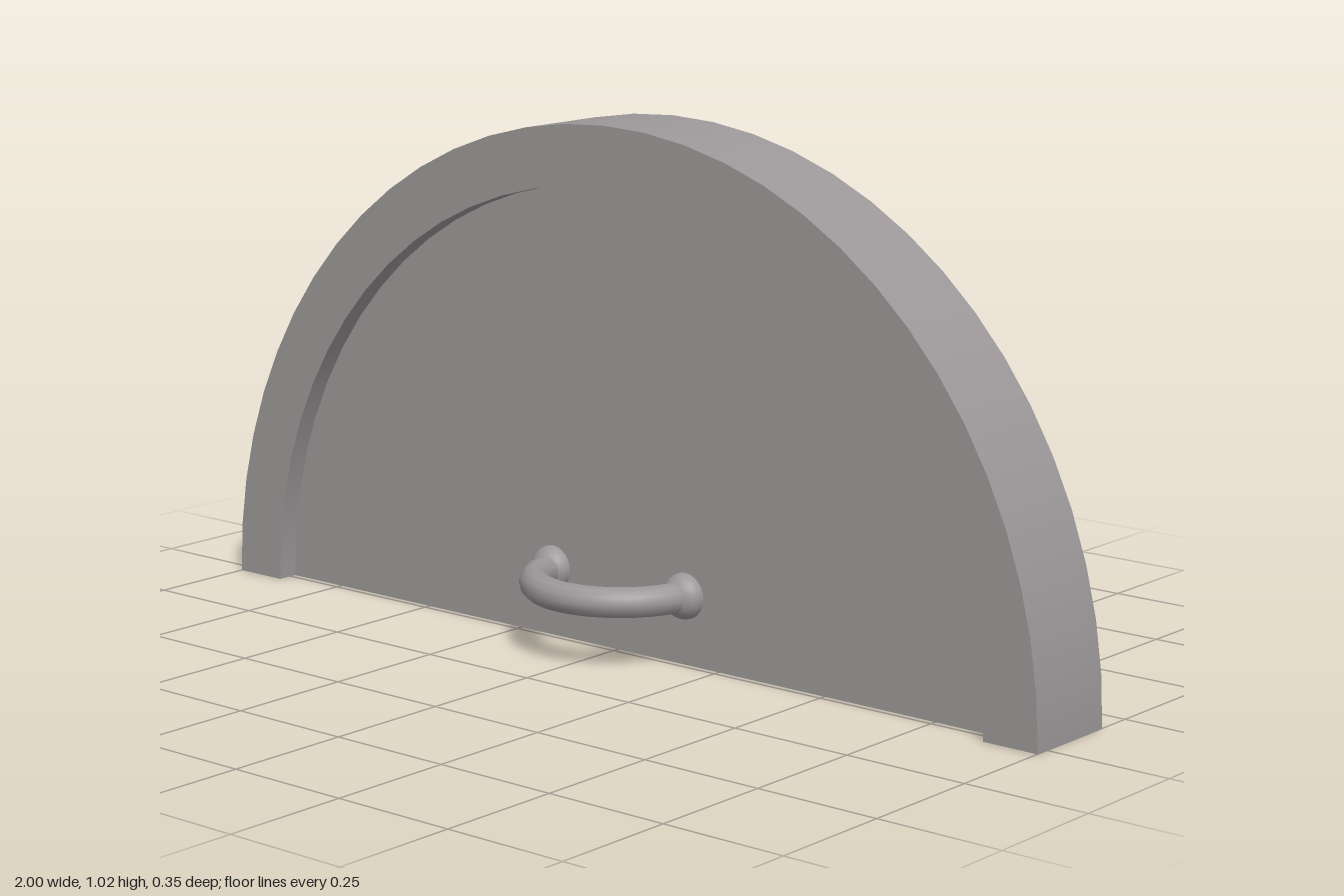
import * as THREE from 'three';

export function createModel() {
  const model = new THREE.Group();
  const grey = new THREE.MeshStandardMaterial({ color: 0x9c9899 });
  grey.name = 'warm grey';

  const FRONT = 0.03, BACK = -0.175;           // frame depth
  const PANEL_FRONT = -0.013, PANEL_BACK = -0.137;
  const OUTER = 1, INNER = 0.885, RISE = 1.02;  // radii and slight height stretch
  const SEGMENTS = 32;

  const add = (name, geometry, parent = model) => {
    const mesh = new THREE.Mesh(geometry, grey);
    mesh.name = name;
    parent.add(mesh);
    return mesh;
  };

  // Arched frame: half-turn strips of [radius, z] points, one per smooth face
  const frame = new THREE.Group();
  frame.name = 'archFrame';
  model.add(frame);
  const strips = {
    frameOuterWall: [[OUTER, BACK], [OUTER, FRONT]],
    frameFrontFace: [[OUTER, FRONT], [INNER, FRONT]],
    frameFrontReveal: [[INNER, FRONT], [INNER, PANEL_FRONT - 0.02]],
    frameBackRim: [[INNER, PANEL_BACK + 0.02], [INNER, BACK], [OUTER, BACK]],
  };
  for (const [name, points] of Object.entries(strips)) {
    const profile = points.map(([r, z]) => new THREE.Vector2(r, z));
    const strip = new THREE.LatheGeometry(profile, SEGMENTS, Math.PI / 2, Math.PI);
    strip.rotateX(Math.PI / 2);
    strip.scale(1, RISE, 1);
    add(name, strip, frame);
  }

  // Flat feet closing the frame at the bottom
  for (const side of [-1, 1]) {
    const foot = new THREE.PlaneGeometry(OUTER - INNER, FRONT - BACK);
    foot.rotateX(Math.PI / 2);
    foot.translate(side * (OUTER + INNER) / 2, 0, (FRONT + BACK) / 2);
    add(side > 0 ? 'leftFoot' : 'rightFoot', foot, frame);
  }

  // Half-round panel recessed inside the frame
  const outline = new THREE.Shape();
  outline.absarc(0, 0, INNER, 0, Math.PI, false);
  outline.closePath();
  const panel = new THREE.ExtrudeGeometry(outline, {
    depth: PANEL_FRONT - PANEL_BACK, bevelEnabled: false, curveSegments: SEGMENTS,
  });
  panel.scale(1, RISE, 1);
  panel.translate(0, 0, PANEL_BACK);
  add('panel', panel);

  // Curved pull handle with round mounts
  const handle = new THREE.Group();
  handle.name = 'handle';
  handle.position.set(0, 0.135, -0.02);
  model.add(handle);
  const grip = new THREE.TorusGeometry(0.165, 0.03, 12, 24, Math.PI);
  grip.rotateX(Math.PI / 2);
  add('grip', grip, handle);
  for (const side of [-1, 1]) {
    const mount = new THREE.SphereGeometry(0.045, 20, 12);
    mount.scale(1, 1, 0.85);
    mount.translate(side * 0.167, 0, 0.008);
    add(side > 0 ? 'leftMount' : 'rightMount', mount, handle);
  }

  return model;
}
